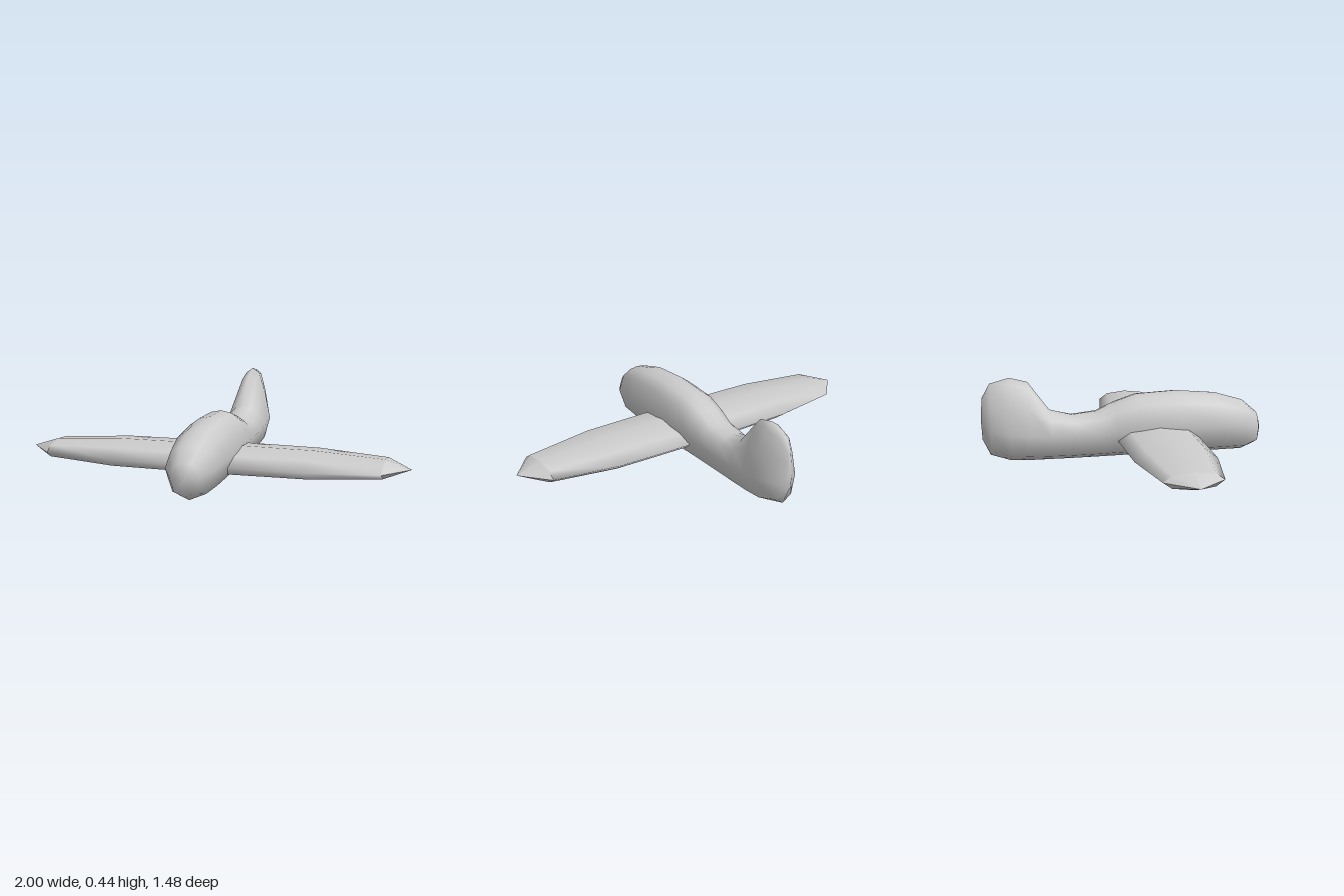
import * as THREE from 'three';
import { mergeVertices, toCreasedNormals } from 'three/addons/utils/BufferGeometryUtils.js';

const material = new THREE.MeshStandardMaterial({ color: 0xcccccc });
const lerp = THREE.MathUtils.lerp;

// Skin a row of closed rings (each a list of [x, y, z]) into one surface
function loft(rings) {
  const n = rings[0].length, index = [];
  for (let i = 0; i < rings.length - 1; i++) {
    for (let j = 0; j < n; j++) {
      const k = (j + 1) % n;
      const a = i * n + j, b = i * n + k, c = a + n, d = b + n;
      index.push(a, c, b, b, c, d);
    }
  }
  let geometry = new THREE.BufferGeometry();
  geometry.setAttribute('position', new THREE.Float32BufferAttribute(rings.flat(2), 3));
  geometry.setIndex(index);
  geometry = mergeVertices(geometry, 1e-5);
  geometry.computeVertexNormals();
  return geometry;
}

// Fuselage ring: egg-shaped for the body (fin = 0), narrowing upward for the fin (fin = 1)
function bodyRing([z, bottom, middle, top, w, fin]) {
  const h = top - middle;
  const half = [
    [w * 0.7, lerp(bottom, middle, 0.25)],
    [w, middle],
    [w * lerp(0.76, 0.7, fin), middle + h * lerp(0.71, 0.52, fin)],
    [w * lerp(0.4, 0.36, fin), middle + h * lerp(0.93, 0.9, fin)],
  ];
  return [
    [0, bottom, z],
    ...half.map(([x, y]) => [x, y, z]),
    [0, top, z],
    ...half.reverse().map(([x, y]) => [-x, y, z]),
  ];
}

// Eight-sided wing ring at span x
function wingRing([x, chord, thick]) {
  return Array.from({ length: 8 }, (_, i) => {
    const a = (i * Math.PI) / 4;
    return [x, 0.112 + Math.sin(a) * thick, 0.169 + Math.cos(a) * chord];
  });
}

export function createModel() {
  const model = new THREE.Group();
  const add = (name, geometry) => {
    const mesh = new THREE.Mesh(geometry, material);
    mesh.name = name;
    model.add(mesh);
  };

  // Fuselage with blended tail fin: z, bottom, middle, top, half width, fin amount
  const stations = [
    [0.742, 0.125, 0.125, 0.125, 0, 0],
    [0.715, 0.045, 0.14, 0.215, 0.075, 0],
    [0.64, 0.012, 0.16, 0.28, 0.12, 0],
    [0.49, 0.01, 0.17, 0.325, 0.137, 0],
    [0.28, 0.01, 0.172, 0.345, 0.141, 0],
    [0.07, 0.008, 0.17, 0.335, 0.137, 0],
    [-0.05, 0.006, 0.16, 0.295, 0.124, 0],
    [-0.14, 0.005, 0.145, 0.252, 0.113, 0],
    [-0.27, 0.004, 0.14, 0.238, 0.107, 0],
    [-0.39, 0.004, 0.145, 0.27, 0.106, 0.4],
    [-0.5, 0.004, 0.155, 0.42, 0.105, 1],
    [-0.595, 0.01, 0.165, 0.445, 0.102, 1],
    [-0.695, 0.043, 0.18, 0.418, 0.071, 1],
    [-0.735, 0.125, 0.21, 0.345, 0.018, 1],
    [-0.742, 0.23, 0.23, 0.23, 0, 1],
  ];
  add('fuselage', loft(stations.map(bodyRing)));

  // One wing running through the fuselage: span x, half chord, half thickness
  const span = [[-0.87, 0.148, 0.043], [-0.51, 0.209, 0.065], [-0.13, 0.216, 0.067],
    [0.13, 0.216, 0.067], [0.51, 0.209, 0.065], [0.87, 0.148, 0.043]];
  add('wing', loft(span.map(wingRing)));

  // Pointed, creased wing tips
  const outer = [0.87, 0.148, 0.043], point = [1, 0, 0];
  const flip = ([x, c, t]) => [-x, c, t];
  add('leftWingTip', toCreasedNormals(loft([outer, point].map(wingRing)), 0.6));
  add('rightWingTip', toCreasedNormals(loft([point, outer].map(flip).map(wingRing)), 0.6));

  return model;
}
